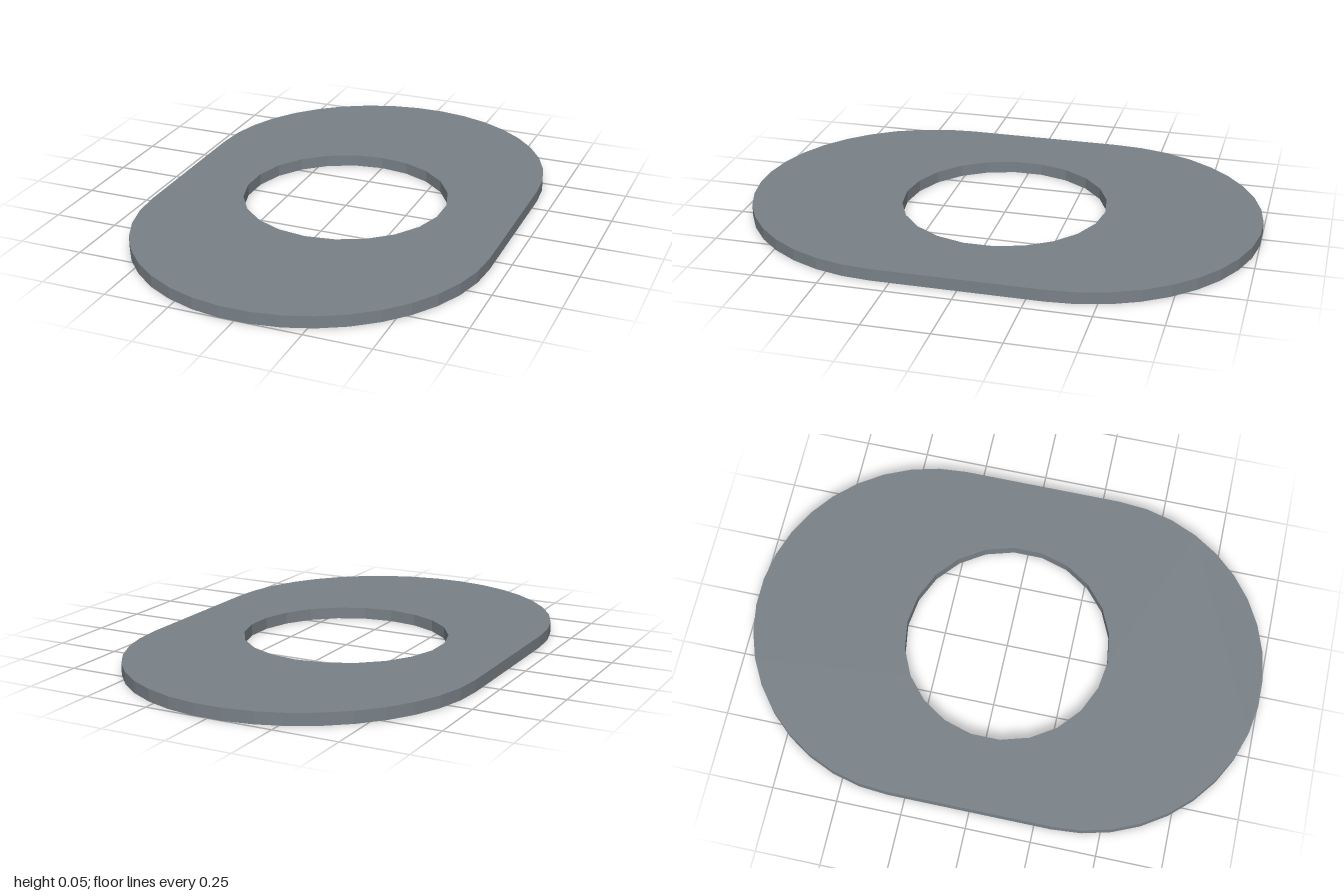
import * as THREE from 'three';

const HALF_WIDTH = 0.685, HALF_LENGTH = 1, THICKNESS = 0.046;
const HOLE_RADIUS = 0.4, HOLE_SIDES = 22, END_SEGMENTS = 19;

// Points on an arc, starting at angle "from" and sweeping by "sweep"
function arc(cy, radius, from, sweep, segments) {
  return Array.from({ length: segments + 1 }, (_, i) => {
    const a = from + (sweep * i) / segments;
    return new THREE.Vector2(radius * Math.cos(a), cy + radius * Math.sin(a));
  });
}

export function createModel() {
  const group = new THREE.Group();
  group.name = 'oblongWasher';

  // Oblong outline: two half circles, each with a flat facet at its tip, joined by straight sides
  const offset = HALF_LENGTH - HALF_WIDTH * Math.cos(Math.PI / (2 * END_SEGMENTS));
  const outline = new THREE.Shape([
    ...arc(offset, HALF_WIDTH, 0, Math.PI, END_SEGMENTS),
    ...arc(-offset, HALF_WIDTH, Math.PI, Math.PI, END_SEGMENTS),
  ]);

  // Round central hole, with corners on the long axis
  const hole = arc(0, HOLE_RADIUS, Math.PI / 2, -Math.PI * 2, HOLE_SIDES).slice(0, -1);
  outline.holes.push(new THREE.Path(hole));

  // Flat plate lying on the ground
  const geometry = new THREE.ExtrudeGeometry(outline, { depth: THICKNESS, bevelEnabled: false });
  geometry.rotateX(-Math.PI / 2);
  const plate = new THREE.Mesh(
    geometry,
    new THREE.MeshStandardMaterial({ color: 0x7a8288, flatShading: true })
  );
  plate.name = 'plate';
  group.add(plate);
  return group;
}
